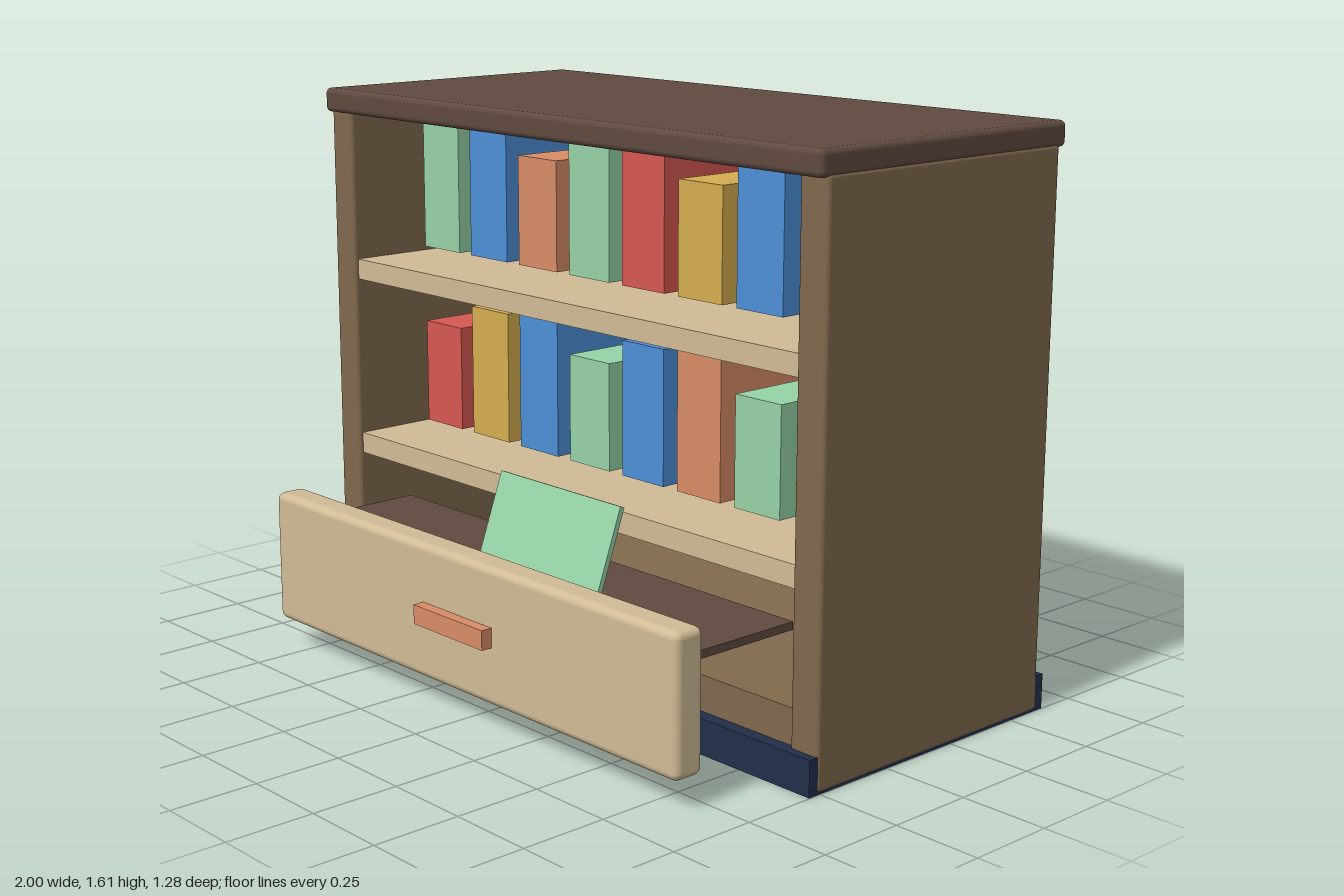
import * as THREE from 'three';
import { RoundedBoxGeometry } from 'three/addons/geometries/RoundedBoxGeometry.js';

const paint = (name, color) => {
  const m = new THREE.MeshStandardMaterial({ color });
  m.name = name;
  return m;
};

export function createModel() {
  const group = new THREE.Group();
  group.name = 'bookcase';
  const brown = paint('side brown', 0x80694d);
  const dark = paint('dark brown', 0x5f4a40);
  const navy = paint('plinth navy', 0x222e4a);
  const teal = paint('back teal', 0x54696e);
  const tan = paint('pale wood', 0xd0bb95);
  const red = paint('red', 0xd65851);
  const blue = paint('blue', 0x4e8fd8);
  const green = paint('green', 0x96d2a6);
  const orange = paint('orange', 0xd98c66);
  const yellow = paint('yellow', 0xd4ad50);

  // Box given by its low and high limits on each axis; r rounds the edges
  const box = (name, mat, [x0, x1], [y0, y1], [z0, z1], r = 0) => {
    const size = [x1 - x0, y1 - y0, z1 - z0];
    const geo = r ? new RoundedBoxGeometry(...size, 3, r) : new THREE.BoxGeometry(...size);
    const mesh = new THREE.Mesh(geo, mat);
    mesh.name = name;
    mesh.position.set((x0 + x1) / 2, (y0 + y1) / 2, (z0 + z1) / 2);
    group.add(mesh);
    return mesh;
  };

  // Cabinet
  box('plinth', navy, [-0.998, 0.998], [0, 0.1], [-0.635, 0.288]);
  box('leftSide', brown, [0.905, 1], [0.003, 1.55], [-0.61, 0.263], 0.012);
  box('rightSide', brown, [-1, -0.905], [0.003, 1.55], [-0.61, 0.263], 0.012);
  box('topBoard', dark, [-1, 1], [1.54, 1.61], [-0.637, 0.288], 0.016);
  box('backPanel', teal, [-0.91, 0.91], [0.09, 1.545], [-0.603, -0.57]);
  box('cabinetFloor', brown, [-0.906, 0.906], [0.09, 0.2], [-0.575, 0.25]);
  box('lowerShelf', tan, [-0.906, 0.906], [0.512, 0.574], [-0.575, 0.25]);
  box('upperShelf', tan, [-0.906, 0.906], [1.046, 1.106], [-0.575, 0.25]);

  // Two rows of books: colour and height of each
  const S = 0.308, M = 0.383, L = 0.458;
  const rows = [
    [0.6, [[red, S], [yellow, M], [blue, L], [green, S], [blue, M], [orange, L], [green, S]]],
    [1.135, [[green, M], [blue, L], [orange, S + 0.006], [green, M], [red, L], [yellow, S + 0.006], [blue, M]]],
  ];
  for (const [base, books] of rows) {
    books.forEach(([mat, h], i) => {
      const x = -0.735 + i * 0.22;
      box('book', mat, [x - 0.083, x + 0.083], [base, base + h], [-0.26, 0.065]);
    });
  }

  // Open drawer
  box('drawerTray', dark, [-0.803, 0.803], [0.358, 0.38], [0.15, 0.6]);
  box('drawerFront', tan, [-0.852, 0.852], [0.08, 0.464], [0.51, 0.605], 0.022);
  box('drawerHandle', orange, [-0.147, 0.147], [0.245, 0.3], [0.595, 0.638]);

  // Folder leaning back in the drawer
  const folder = box('folder', green, [-0.122, 0.366], [0.352, 0.634], [0.38, 0.395]);
  folder.rotation.x = -0.35;

  return group;
}
